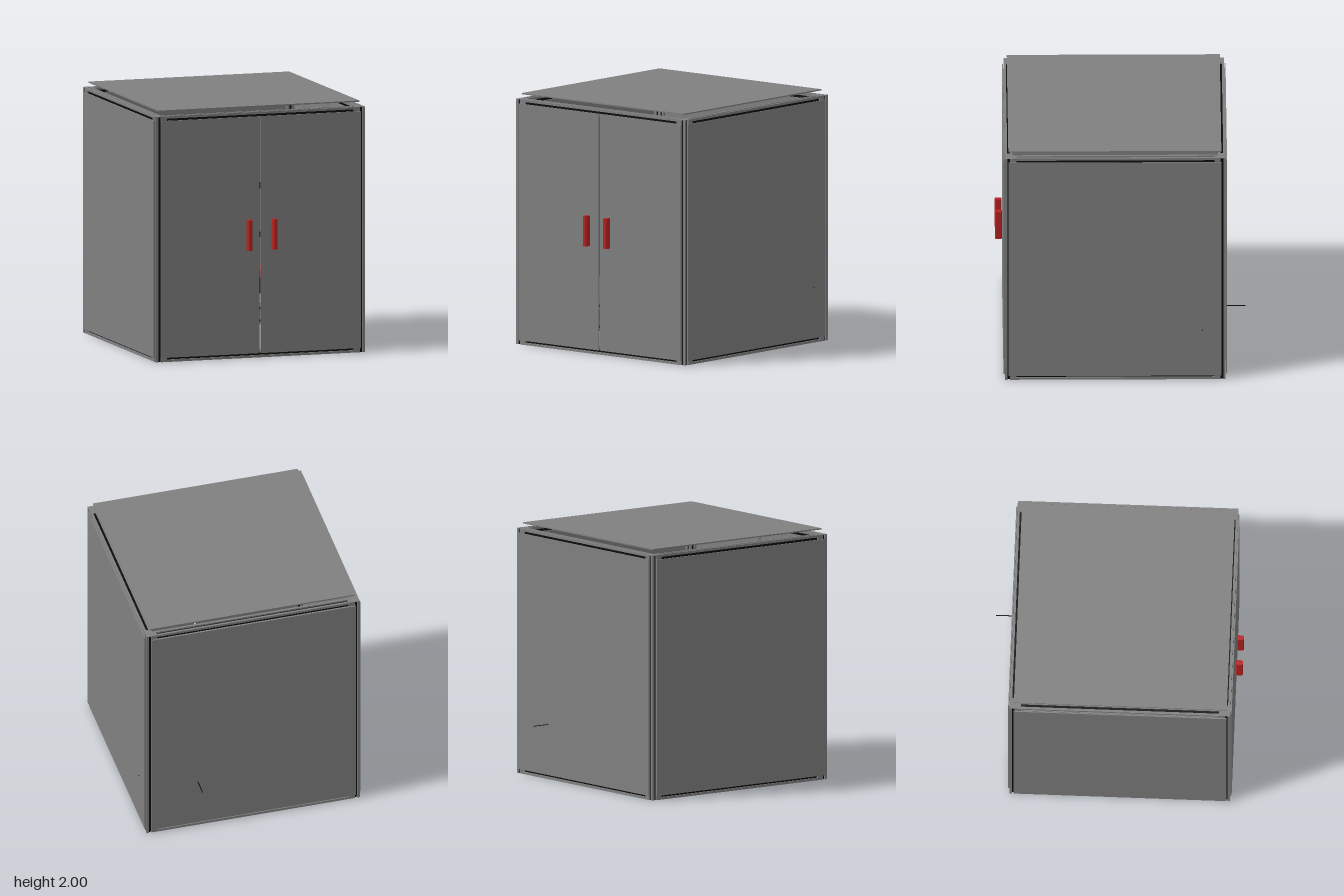
import * as THREE from 'three';

const mat = (name, color) => {
  const m = new THREE.MeshStandardMaterial({ color });
  m.name = name;
  return m;
};

export function createModel() {
  const grey = mat('grey', 0x808080);
  const black = mat('black', 0x0c0c0c);
  const red = mat('red', 0xb82222);

  const model = new THREE.Group();
  model.name = 'enclosure';

  // Box given by its limits on each axis
  const box = (name, material, [x0, x1], [y0, y1], [z0, z1], parent = model) => {
    const mesh = new THREE.Mesh(new THREE.BoxGeometry(x1 - x0, y1 - y0, z1 - z0), material);
    mesh.position.set((x0 + x1) / 2, (y0 + y1) / 2, (z0 + z1) / 2);
    mesh.name = name;
    parent.add(mesh);
    return mesh;
  };

  // Outer limits of the frame
  const X = [-0.873, 0.869], Y = [0, 1.955], Z = [-0.828, 0.911];
  const P = 0.06;      // profile width
  const SLOT = 0.022;  // slot width
  const DEPTH = 0.012; // slot depth

  // Slotted profile: dark core with four grey corner strips, along axis 'x', 'y' or 'z'
  function profile(name, axis, length, cx, cy, cz, bracketed) {
    const g = new THREE.Group();
    g.name = name;
    const h = P / 2, s = SLOT / 2, c = h - DEPTH, L = length / 2;
    box('slotCore', black, [-c, c], [-c, c], [-L, L], g);
    for (const sx of [-1, 1]) for (const sy of [-1, 1]) {
      const span = (k) => (k > 0 ? [s, h] : [-h, -s]);
      box('cornerStrip', grey, span(sx), span(sy), [-L, L], g);
    }
    // Corner brackets fill the slots near each end
    if (bracketed) for (const e of [-1, 1]) {
      const end = e > 0 ? [L - 0.03, L] : [-L, -L + 0.03];
      box('cornerBracket', grey, [-h + 0.001, h - 0.001], [-h + 0.001, h - 0.001], end, g);
    }
    if (axis === 'x') g.rotation.y = Math.PI / 2;
    if (axis === 'y') g.rotation.x = Math.PI / 2;
    g.position.set(cx, cy, cz);
    model.add(g);
  }

  const h = P / 2;
  const midX = (X[0] + X[1]) / 2, midZ = (Z[0] + Z[1]) / 2;
  const postX = [X[0] + h, X[1] - h], postZ = [Z[0] + h, Z[1] - h];
  const lenX = X[1] - X[0] - 2 * P, lenZ = Z[1] - Z[0] - 2 * P;

  // Corner posts with plain top caps
  for (const x of postX) for (const z of postZ) {
    profile('cornerPost', 'y', Y[1] - 0.004, x, (Y[1] - 0.004) / 2, z, false);
    box('postCap', grey, [x - h, x + h], [Y[1] - 0.004, Y[1]], [z - h, z + h]);
  }

  // Rails at the bottom, under the floor and at the top
  const floorY = 0.42;
  for (const [name, y] of [['bottomRail', h], ['floorRail', floorY - h], ['topRail', Y[1] - h]]) {
    for (const z of postZ) profile(name, 'x', lenX, midX, y, z, true);
    for (const x of postX) profile(name, 'z', lenZ, x, y, midZ, true);
  }

  // Flat panels
  const panelX = [-0.839, 0.833], panelY = [0.035, 1.92], panelZ = [-0.794, 0.884];
  box('topPanel', grey, panelX, [1.99, 2], panelZ);
  box('leftPanel', grey, [X[1], X[1] + 0.007], panelY, panelZ);
  box('rightPanel', grey, [-0.886, -0.877], panelY, panelZ);
  box('backPanel', grey, panelX, panelY, [-0.839, -0.83]);
  box('floorPanel', grey, [X[0] + 0.03, X[1] - 0.03], [floorY, floorY + 0.009], [Z[0] + 0.03, Z[1] - 0.03]);

  // Double doors with a narrow gap between them
  box('rightDoor', grey, [panelX[0], -0.013], panelY, [0.912, 0.922]);
  box('leftDoor', grey, [-0.001, panelX[1]], panelY, [0.912, 0.922]);

  // Upright handles with chamfered corners
  const w = 0.02, d = 0.0275, k = 0.009;
  const outline = new THREE.Shape([
    [-w + k, -d], [w - k, -d], [w, -d + k], [w, d - k],
    [w - k, d], [-w + k, d], [-w, d - k], [-w, -d + k],
  ].map(([x, y]) => new THREE.Vector2(x, y)));
  const handleGeometry = new THREE.ExtrudeGeometry(outline, { depth: 0.241, bevelEnabled: false });
  handleGeometry.rotateX(-Math.PI / 2);
  for (const [name, x] of [['rightHandle', -0.11], ['leftHandle', 0.099]]) {
    const handle = new THREE.Mesh(handleGeometry, red);
    handle.name = name;
    handle.position.set(x, 0.862, 0.9565);
    model.add(handle);
  }

  // Thin cables leaving through the back and left panels
  box('backCable', black, [0.451, 0.458], [0.437, 0.441], [-0.985, -0.6]);
  box('sideCable', black, [0.6, 0.886], [0.437, 0.441], [-0.648, -0.642]);

  // Small machine standing on the floor inside
  const machine = new THREE.Group();
  machine.name = 'machine';
  model.add(machine);
  const base = floorY + 0.009;
  box('machineBase', black, [-0.4, 0.4], [base, 0.53], [-0.35, 0.4], machine);
  box('machineBed', red, [-0.3, 0.3], [0.55, 0.6], [-0.25, 0.35], machine);
  for (const x of [-0.38, 0.34]) box('machineUpright', black, [x, x + 0.04], [0.53, 1.25], [-0.02, 0.04], machine);
  box('machineTopBar', black, [-0.38, 0.38], [1.21, 1.25], [-0.02, 0.04], machine);
  box('machineCrossBar', black, [-0.34, 0.34], [0.82, 0.86], [-0.01, 0.03], machine);
  box('machineHead', red, [-0.06, 0.06], [0.7, 0.8], [0.04, 0.12], machine);

  return model;
}
